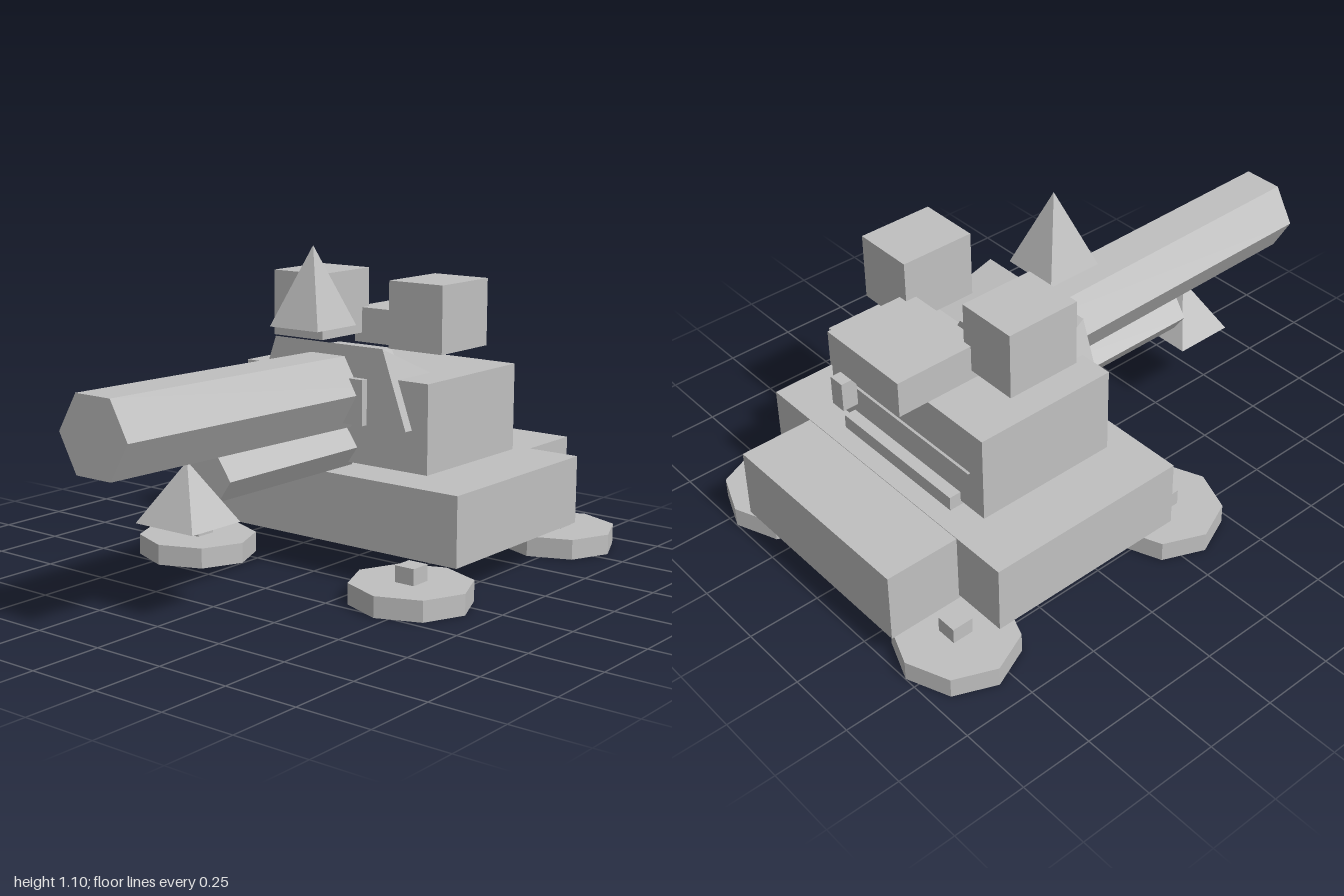
import * as THREE from 'three';
import { ConvexGeometry } from 'three/addons/geometries/ConvexGeometry.js';

export function createModel() {
  const model = new THREE.Group();
  model.name = 'cannonVehicle';

  const grey = new THREE.MeshStandardMaterial({ color: 0xc0c0c0, flatShading: true });
  grey.name = 'grey';

  function add(name, geometry) {
    const mesh = new THREE.Mesh(geometry, grey);
    mesh.name = name;
    model.add(mesh);
    return mesh;
  }

  // Box given by its limits on each axis
  function box(name, [x0, x1], [y0, y1], [z0, z1]) {
    const mesh = add(name, new THREE.BoxGeometry(x1 - x0, y1 - y0, z1 - z0));
    mesh.position.set((x0 + x1) / 2, (y0 + y1) / 2, (z0 + z1) / 2);
    return mesh;
  }

  // Hexagonal barrel along z with flat top and bottom
  function barrel(name, halfWidth, halfHeight, length, y, z, tilt) {
    const g = new THREE.CylinderGeometry(1, 1, length, 6);
    g.rotateY(Math.PI / 6);
    g.rotateX(Math.PI / 2);
    g.scale(halfWidth, halfHeight / Math.cos(Math.PI / 6), 1);
    const mesh = add(name, g);
    mesh.position.set(0, y, z);
    mesh.rotation.x = tilt;
  }

  // Square pyramid standing on y0
  function pyramid(name, halfX, halfZ, y0, y1, z) {
    const g = new THREE.ConeGeometry(Math.SQRT2, y1 - y0, 4);
    g.rotateY(Math.PI / 4);
    g.scale(halfX, 1, halfZ);
    add(name, g).position.set(0, (y0 + y1) / 2, z);
  }

  // Hull
  box('hull', [-0.575, 0.575], [0.115, 0.35], [-0.725, 0]);
  box('rearHull', [-0.38, 0.38], [0.102, 0.348], [-0.985, -0.625]);

  // Octagonal foot discs with pegs
  for (const side of [-1, 1]) {
    for (const z of [0.077, -0.802]) {
      const disc = new THREE.CylinderGeometry(1, 1, 0.07, 8);
      disc.scale(0.206, 1, 0.197);
      add('footDisc', disc).position.set(side * 0.457, 0.035, z);
      box('footPeg', [side * 0.457 - 0.036, side * 0.457 + 0.036], [0.07, 0.125], [z - 0.037, z + 0.037]);
    }
  }

  // Upper body and its rear ledge
  box('upperBody', [-0.382, 0.382], [0.366, 0.666], [-0.618, -0.108]);
  box('rearLedge', [-0.27, 0.27], [0.35, 0.4], [-0.66, -0.455]);

  // Wedge shield sloping down to the rear
  const wedge = [];
  for (const s of [-1, 1]) {
    wedge.push(
      new THREE.Vector3(s * 0.225, 0.768, -0.073),
      new THREE.Vector3(s * 0.32, 0.507, -0.073),
      new THREE.Vector3(s * 0.32, 0.507, -0.625)
    );
  }
  add('wedgeShield', new ConvexGeometry(wedge));
  box('barrelMount', [-0.163, 0.163], [0.51, 0.663], [-0.3, -0.047]);

  // Barrels
  barrel('mainBarrel', 0.14, 0.121, 1.325, 0.615, 0.335, -0.017);
  barrel('lowerBarrel', 0.098, 0.07, 0.664, 0.42, 0.192, 0);

  // Pyramids above and below the barrels
  pyramid('upperPyramid', 0.1, 0.1, 0.832, 1.095, 0.004);
  pyramid('lowerPyramid', 0.118, 0.107, 0.296, 0.488, 0.61);

  // Top boxes
  for (const s of [-1, 1]) {
    box('sidePod', s < 0 ? [-0.355, -0.141] : [0.141, 0.355], [0.743, 0.97], [-0.482, -0.22]);
  }
  box('rearTopBox', [-0.173, 0.173], [0.71, 0.833], [-0.757, -0.443]);
  box('rearLamp', [0.15, 0.207], [0.53, 0.633], [-0.74, -0.684]);

  return model;
}
